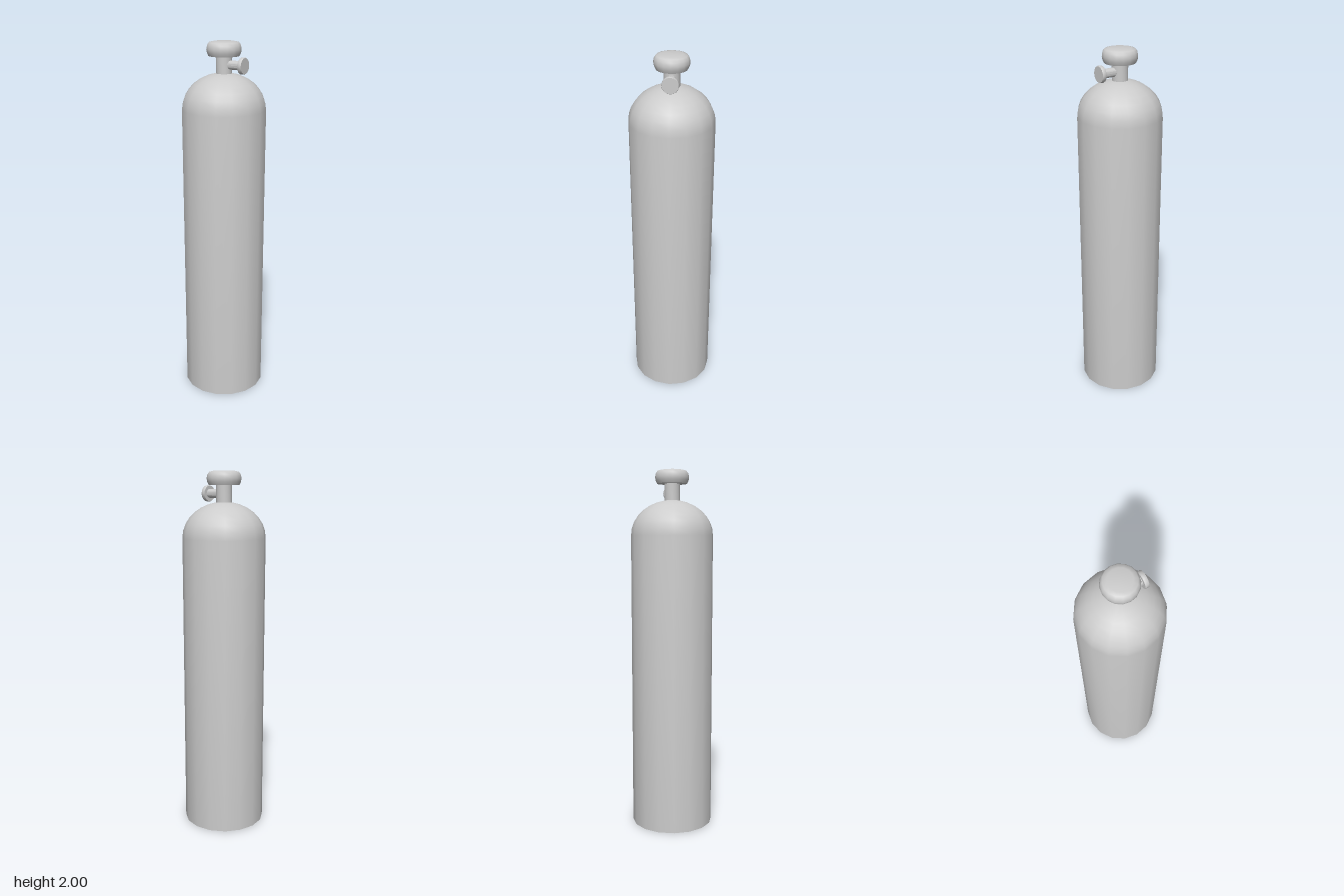
import * as THREE from 'three';
import { toCreasedNormals } from 'three/addons/utils/BufferGeometryUtils.js';

const SIDES = 16;
const material = new THREE.MeshStandardMaterial({ color: 0xcccccc });

// Turned part from [radius, height] pairs, listed bottom to top
function turned(name, profile) {
  const points = profile.map(([r, y]) => new THREE.Vector2(r, y));
  const geometry = toCreasedNormals(new THREE.LatheGeometry(points, SIDES), 0.75);
  const mesh = new THREE.Mesh(geometry, material);
  mesh.name = name;
  return mesh;
}

export function createModel() {
  const model = new THREE.Group();
  model.name = 'gasCylinder';

  // Tank: flat base, straight wall and rounded shoulder
  const radius = 0.228, shoulderY = 1.645, shoulderHeight = 0.193;
  const tank = [[0, 0], [radius, 0]];
  const steps = 8;
  for (let i = 0; i <= steps; i++) {
    const a = (i / steps) * Math.PI / 2;
    tank.push([i === steps ? 0 : radius * Math.cos(a), shoulderY + shoulderHeight * Math.sin(a)]);
  }
  model.add(turned('tank', tank));

  // Neck between the shoulder and the cap
  model.add(turned('neck', [[0, 1.8], [0.043, 1.8], [0.043, 1.94], [0, 1.94]]));

  // Rounded handwheel on top
  model.add(turned('topCap', [
    [0, 1.925], [0.083, 1.925], [0.091, 1.942], [0.094, 1.96],
    [0.09, 1.98], [0.08, 1.994], [0.06, 1.999], [0, 2],
  ]));

  // Side valve: a stem and a small round knob pointing to +x
  const valve = new THREE.Group();
  valve.name = 'sideValve';
  valve.add(turned('valveStem', [[0, 0], [0.024, 0], [0.024, 0.115], [0, 0.115]]));
  valve.add(turned('valveKnob', [
    [0, 0.108], [0.042, 0.108], [0.044, 0.112], [0.044, 0.126], [0.042, 0.13], [0, 0.13],
  ]));
  valve.rotation.z = -Math.PI / 2;
  valve.position.y = 1.88;
  model.add(valve);

  return model;
}
